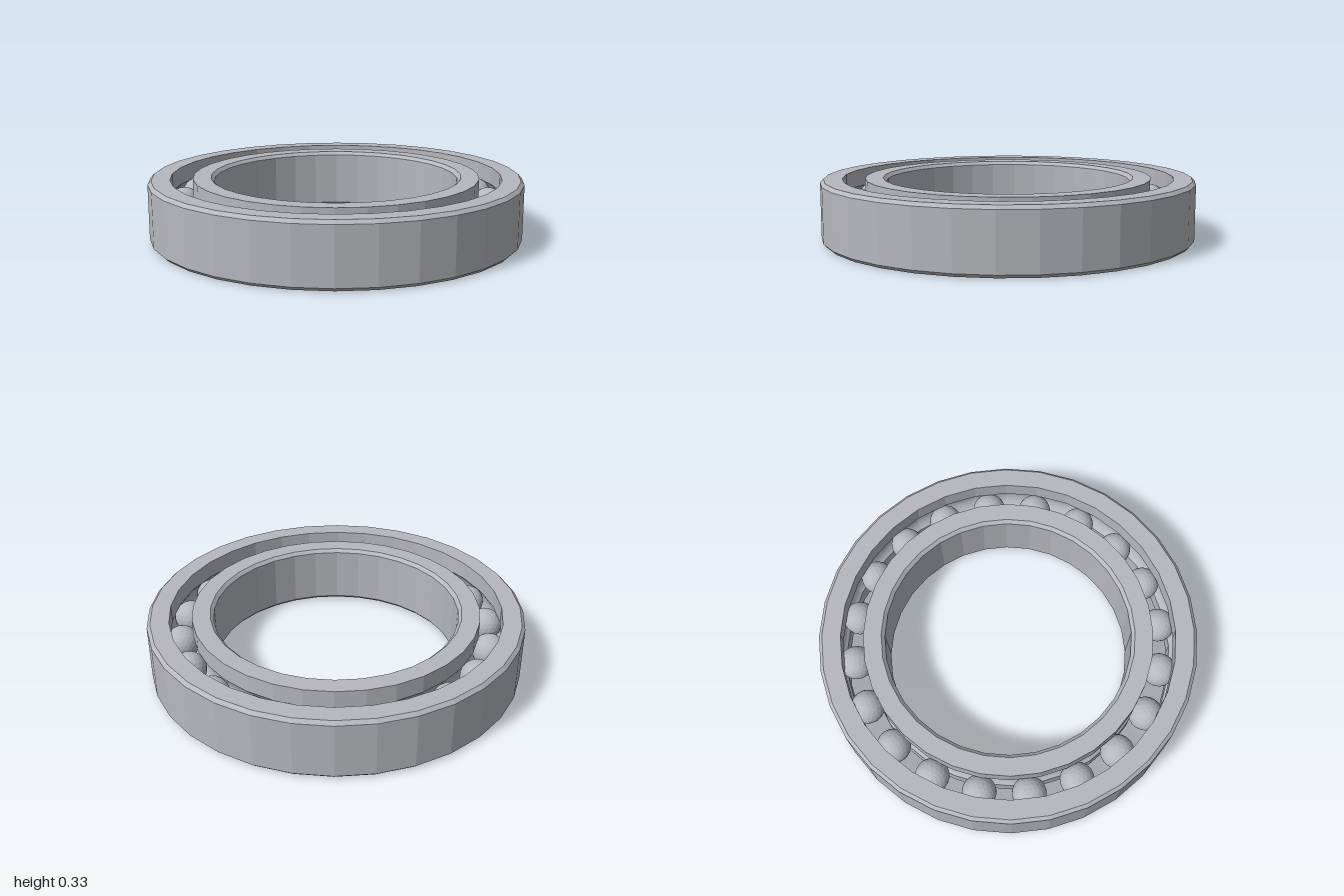
import * as THREE from 'three';

const HEIGHT = 0.33, MID = HEIGHT / 2;
const SIDES = 32, BALLS = 20;
const PITCH = 0.825, BALL_R = 0.09, GROOVE_R = 0.092;
const CHAMFER = 0.018;

// faceted look: every face gets its own normal
function faceted(geometry) {
  const g = geometry.index ? geometry.toNonIndexed() : geometry;
  g.computeVertexNormals();
  return g;
}

// arc of the ball groove cut into a race wall at radius r, listed from bottom to top
function groove(r, steps = 8) {
  const side = Math.sign(r - PITCH);
  const half = Math.acos(Math.abs(r - PITCH) / GROOVE_R);
  return Array.from({ length: steps + 1 }, (_, i) => {
    const a = -half + (2 * half * i) / steps;
    return [PITCH + side * GROOVE_R * Math.cos(a), MID + GROOVE_R * Math.sin(a)];
  });
}

// closed cross-section, counter-clockwise, spun about the y axis
function ring(name, profile, material) {
  const points = [...profile, profile[0]].map(([x, y]) => new THREE.Vector2(x, y));
  const mesh = new THREE.Mesh(faceted(new THREE.LatheGeometry(points, SIDES)), material);
  mesh.name = name;
  return mesh;
}

export function createModel() {
  const model = new THREE.Group();
  model.name = 'ballBearing';
  const steel = new THREE.MeshStandardMaterial({ color: 0xb6b8be });
  steel.name = 'steel';

  // outer race: chamfered outside, grooved inside
  const outerR = 1, outerBore = 0.884;
  model.add(ring('outerRace', [
    [outerBore, 0], [outerR - CHAMFER, 0], [outerR, CHAMFER],
    [outerR, HEIGHT - CHAMFER], [outerR - CHAMFER, HEIGHT], [outerBore, HEIGHT],
    ...groove(outerBore).reverse(),
  ], steel));

  // inner race: grooved outside, chamfered bore
  const innerR = 0.765, bore = 0.652;
  model.add(ring('innerRace', [
    [bore + CHAMFER, 0], [innerR, 0],
    ...groove(innerR),
    [innerR, HEIGHT], [bore + CHAMFER, HEIGHT],
    [bore, HEIGHT - CHAMFER], [bore, CHAMFER],
  ], steel));

  // balls evenly spaced around the track
  const balls = new THREE.Group();
  balls.name = 'balls';
  const ballGeometry = faceted(new THREE.IcosahedronGeometry(BALL_R, 3));
  for (let i = 0; i < BALLS; i++) {
    const a = (i / BALLS) * Math.PI * 2;
    const ball = new THREE.Mesh(ballGeometry, steel);
    ball.name = 'ball';
    ball.position.set(PITCH * Math.sin(a), MID, PITCH * Math.cos(a));
    ball.rotation.y = a;
    balls.add(ball);
  }
  model.add(balls);

  return model;
}
